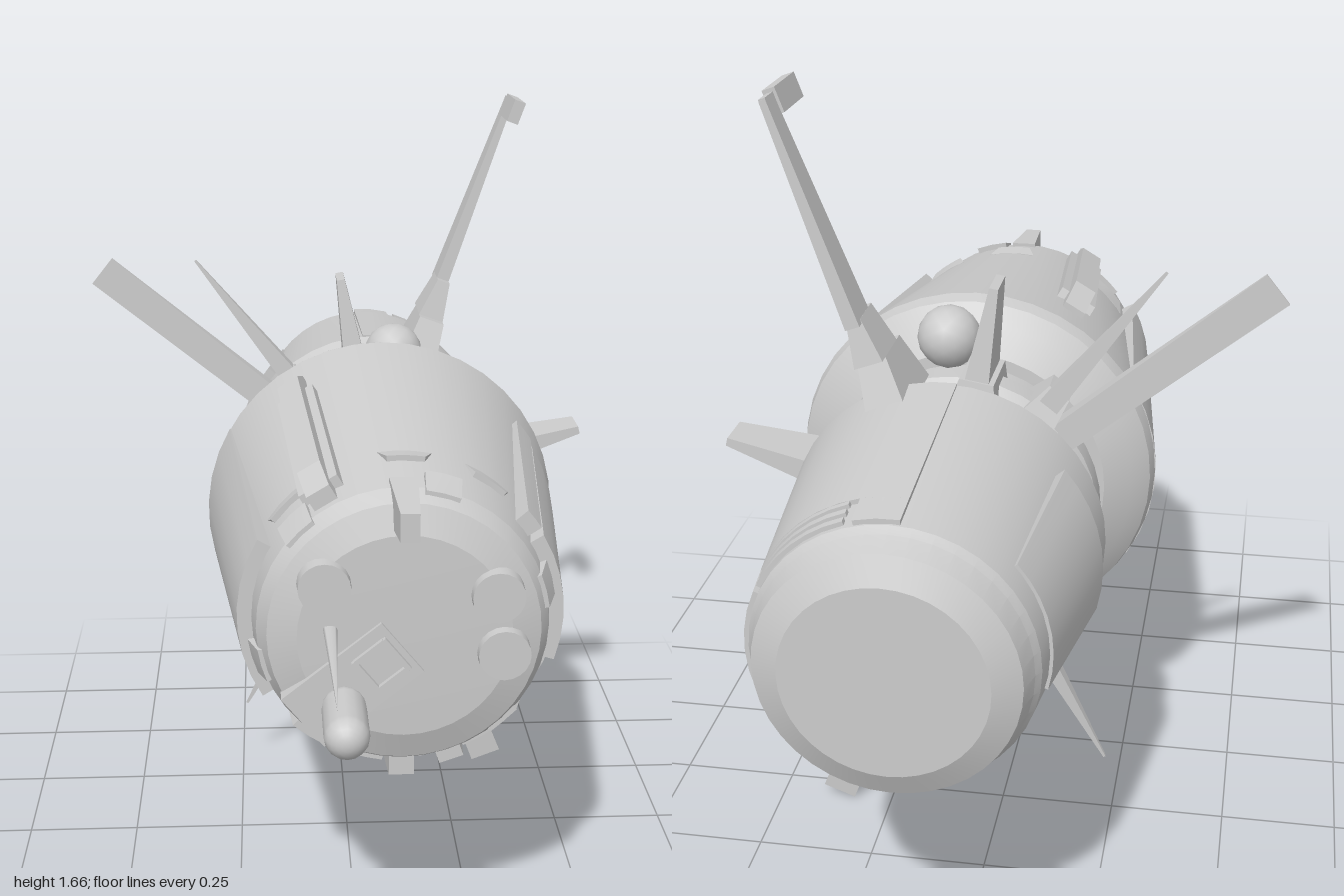
import * as THREE from 'three';
import { toCreasedNormals } from 'three/addons/utils/BufferGeometryUtils.js';

const grey = new THREE.MeshStandardMaterial({ color: 0xcccccc, side: THREE.DoubleSide });
const rad = THREE.MathUtils.degToRad;

export function createModel() {
  const model = new THREE.Group();
  model.name = 'spacePod';
  // everything is placed around the long axis of the hull
  const pod = new THREE.Group();
  pod.name = 'pod';
  pod.position.set(0.08, 0.778, 0);
  model.add(pod);

  function add(name, geometry, x = 0, y = 0, z = 0, parent = pod) {
    const mesh = new THREE.Mesh(geometry, grey);
    mesh.name = name;
    mesh.position.set(x, y, z);
    parent.add(mesh);
    return mesh;
  }
  // group whose local +y points outward at the given angle (0 = left, 90 = up)
  function spoke(name, angle) {
    const g = new THREE.Group();
    g.name = name;
    g.rotation.z = rad(angle - 90);
    pod.add(g);
    return g;
  }
  // turned part from [z, radius] pairs, back to front
  function turned(name, profile) {
    const g = new THREE.LatheGeometry(profile.map(([z, r]) => new THREE.Vector2(r, z)), 40);
    g.rotateX(Math.PI / 2);
    return add(name, toCreasedNormals(g, 0.3));
  }
  // box along y from y0 to y1 with [width, depth] at each end
  function taper(y0, y1, [w0, d0], [w1, d1]) {
    const g = new THREE.BoxGeometry(1, 1, 1).toNonIndexed();
    const p = g.attributes.position;
    for (let i = 0; i < p.count; i++) {
      const top = p.getY(i) > 0;
      p.setXYZ(i, p.getX(i) * (top ? w1 : w0), top ? y1 : y0, p.getZ(i) * (top ? d1 : d0));
    }
    g.computeVertexNormals();
    return g;
  }
  // curved plate lying on the hull, lifted by l0 at z0 and l1 at z1
  const hullRadius = z => (z > -0.2 ? 0.39 - (z + 0.083) * 0.164 : 0.32 + (z + 0.42) * 0.111);
  function plate(name, a0, a1, z0, z1, l0, l1 = l0, narrow = 0) {
    const g = new THREE.BoxGeometry(1, 1, 1, Math.max(2, Math.ceil((a1 - a0) / 9)), 1, 1);
    const p = g.attributes.position;
    for (let i = 0; i < p.count; i++) {
      const t = p.getZ(i) + 0.5;
      const z = z0 + (z1 - z0) * t;
      const r = hullRadius(z) + (p.getY(i) > 0 ? l0 + (l1 - l0) * t : -0.02);
      const a = rad((a0 + a1) / 2 - p.getX(i) * (a1 - a0) * (1 - narrow * t));
      p.setXYZ(i, r * Math.cos(a), r * Math.sin(a), z);
    }
    g.computeVertexNormals();
    return add(name, g);
  }
  // thin extruded outline drawn in [z, radius]
  function ridge(name, angle, width, points) {
    const shape = new THREE.Shape(points.map(([z, r]) => new THREE.Vector2(z, r)));
    const g = new THREE.ExtrudeGeometry(shape, { depth: width, bevelEnabled: false });
    g.translate(0, 0, -width / 2).rotateY(-Math.PI / 2);
    return add(name, g, 0, 0, 0, spoke(name + 'Mount', angle));
  }

  // hulls and the neck between them
  turned('frontHull', [[-0.19, 0], [-0.18, 0.29], [-0.147, 0.345], [-0.115, 0.382], [-0.083, 0.39],
    [0.585, 0.282], [0.62, 0.262], [0.64, 0.205], [0.645, 0]]);
  turned('neck', [[-0.4, 0.255], [-0.345, 0.255], [-0.335, 0.275], [-0.315, 0.292], [-0.265, 0.292],
    [-0.25, 0.265], [-0.17, 0.265]]);
  turned('rearHull', [[-1, 0], [-1, 0.19], [-0.975, 0.242], [-0.93, 0.255], [-0.914, 0.265],
    [-0.42, 0.32], [-0.38, 0.3], [-0.37, 0.25], [-0.37, 0]]);

  // front hull plating
  plate('rightSidePlate', 150, 212, -0.08, 0.53, 0.002, 0.03);
  plate('leftSidePlate', -18, 31, 0.07, 0.54, 0.008, 0.03);
  plate('leftLowerPlate', -42, -18, -0.08, 0.46, 0.002, 0.026);
  plate('lowerPlate', 228, 258, -0.08, 0.53, 0.002, 0.028);
  plate('lowerLeftPlate', -66, -42, -0.08, 0.53, 0.002, 0.026);
  plate('shoulderPlate', 33, 41, 0.06, 0.53, 0.012, 0.032);
  for (const a of [88, 137, 55]) plate('hullWedge', a - 10, a + 10, 0.44, 0.48, 0.002, 0.012, 0.3);
  for (let a = 15; a < 360; a += 60) plate('rimBlock', a - 7, a + 7, 0.54, 0.6, 0.014, 0.004);

  // rear hull plating and vents
  plate('rearLeftPlate', -38, 94, -0.84, -0.42, 0.009, 0.004);
  plate('rearRightPlate', 140, 195, -0.86, -0.54, 0.006, 0.022);
  plate('rearLowerPlate', 225, 275, -0.84, -0.46, 0.009, 0.004);
  plate('rearEdge', 76, 94, -0.91, -0.84, 0.009);
  plate('rearEdge', -38, 24, -0.91, -0.84, 0.009);
  for (const z of [-0.905, -0.878, -0.851]) plate('ventRib', 26, 72, z, z + 0.014, 0.008);

  // ridges along the front hull
  const keel = [[0.59, 0.25], [0.59, 0.318], [0.5, 0.34], [0.1, 0.425], [0.04, 0.43], [-0.08, 0.4], [-0.12, 0.36]];
  ridge('keel', -90, 0.05, keel);
  ridge('keel', -71, 0.05, keel.map(([z, r]) => [z, r - 0.015]));
  ridge('topRidge', 121, 0.05, [[0.57, 0.25], [0.57, 0.315], [0.5, 0.345], [0.1, 0.41], [0.02, 0.385], [0.02, 0.34]]);
  ridge('keelRail', -90, 0.085, keel.map(([z, r]) => [z * 0.95, r - 0.025]));
  ridge('topRail', 121, 0.085, [[0.53, 0.25], [0.53, 0.312], [0.1, 0.38], [0.08, 0.33]]);

  // long flat blades and thin spikes around the neck
  for (const a of [141, -69]) {
    const g = spoke('blade', a);
    add('bladePanel', taper(0.25, 0.81, [0.062, 0.045], [0.075, 0.006]), 0, 0, -0.305, g);
  }
  for (const a of [128, -118]) {
    const g = spoke('spike', a);
    add('spikeRod', taper(0.25, 0.675, [0.05, 0.045], [0.005, 0.006]), 0, 0, -0.305, g);
    add('spikeRoot', taper(0.24, 0.34, [0.09, 0.15], [0.05, 0.06]), 0, 0, -0.28, g);
  }
  // short fins
  for (const a of [99.5, 14.6]) {
    const g = spoke('fin', a);
    add('finPlate', taper(0.27, 0.5, [0.055, 0.14], [0.018, 0.085]), 0, 0, -0.3, g);
    add('finRoot', taper(0.25, 0.31, [0.1, 0.16], [0.07, 0.14]), 0, 0, -0.3, g);
  }
  // neck tanks
  for (const a of [84, -29]) {
    const r = 0.338, g = new THREE.IcosahedronGeometry(0.066, 2);
    add('tank', g, r * Math.cos(rad(a)), r * Math.sin(rad(a)), -0.205);
  }

  // mast with a flared foot and a forward head
  const mast = spoke('mast', 70);
  add('mastFoot', taper(0.29, 0.4, [0.085, 0.2], [0.06, 0.12]), 0, 0, -0.4, mast);
  add('mastFlare', taper(0.4, 0.49, [0.06, 0.12], [0.03, 0.09]), 0, 0, -0.425, mast);
  add('mastPole', taper(0.48, 0.935, [0.03, 0.085], [0.014, 0.05]), 0, 0, -0.447, mast);
  add('mastHead', new THREE.BoxGeometry(0.026, 0.05, 0.13), 0, 0.92, -0.355, mast);
  add('mastNeck', new THREE.BoxGeometry(0.014, 0.025, 0.05), 0, 0.925, -0.445, mast);

  // round ports on the nose
  for (const [x, y] of [[-0.153, 0.109], [0.174, 0.085], [0.188, -0.033]]) {
    const g = new THREE.CylinderGeometry(0.05, 0.053, 0.06, 20).rotateX(Math.PI / 2);
    add('port', g, x, y, 0.632);
  }
  // slanted nose panel with a small frame
  const panel = new THREE.Group();
  panel.name = 'nosePanel';
  panel.position.set(-0.1, -0.093, 0);
  panel.rotation.z = rad(39);
  pod.add(panel);
  add('panelBase', new THREE.BoxGeometry(0.245, 0.13, 0.06), 0, 0, 0.622, panel);
  for (const s of [-1, 1]) {
    add('frameSide', new THREE.BoxGeometry(0.07, 0.01, 0.012), 0.07, s * 0.036, 0.657, panel);
    add('frameEnd', new THREE.BoxGeometry(0.01, 0.08, 0.012), 0.07 + s * 0.036, 0, 0.657, panel);
  }
  // probe, needle and top bracket on the nose
  const probe = new THREE.CapsuleGeometry(0.043, 0.11, 6, 16).rotateX(Math.PI / 2);
  add('probe', probe, -0.117, -0.129, 0.732);
  add('probeStem', new THREE.CylinderGeometry(0.025, 0.025, 0.1, 12).rotateX(Math.PI / 2), -0.117, -0.129, 0.66);
  const needle = new THREE.ConeGeometry(0.014, 0.37, 8).rotateX(Math.PI / 2).scale(1, 0.4, 1);
  add('needle', needle, -0.142, 0.022, 0.815);
  const bracket = add('bracket', taper(0.56, 0.722, [0.055, 0.085], [0.036, 0.055]), 0, 0.25, 0);
  bracket.rotation.x = Math.PI / 2;

  return model;
}
